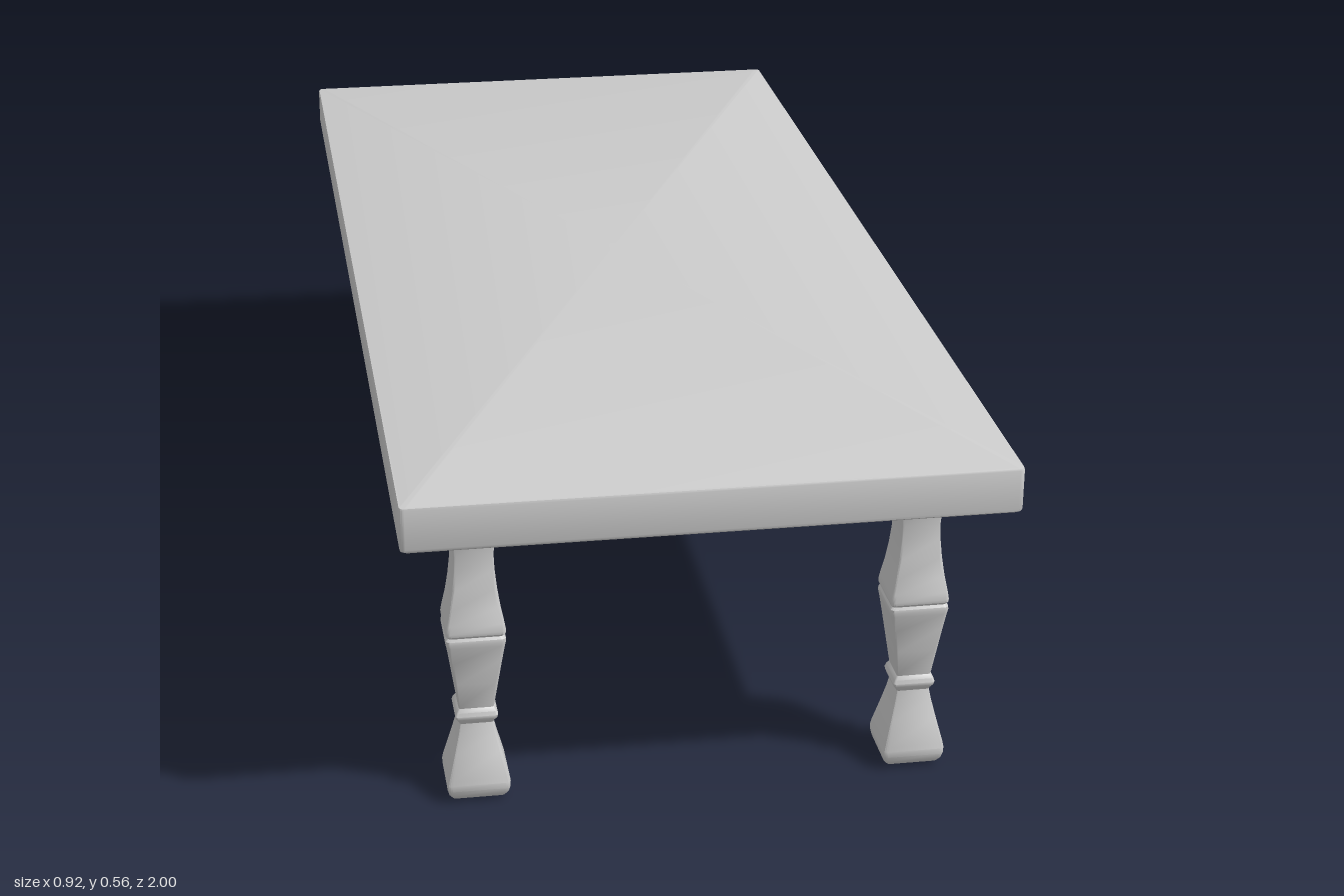
import * as THREE from 'three';
import { toCreasedNormals } from 'three/addons/utils/BufferGeometryUtils.js';

const material = new THREE.MeshStandardMaterial({ color: 0xcccccc });
const CORNER_STEPS = 4;

// Rounded rectangle in the xz plane, one arc per corner
function ring({ y, hx, hz, r }) {
  const points = [];
  for (let c = 0; c < 4; c++) {
    const cx = (c === 0 || c === 3 ? 1 : -1) * (hx - r);
    const cz = (c < 2 ? 1 : -1) * (hz - r);
    for (let i = 0; i <= CORNER_STEPS; i++) {
      const a = (c + i / CORNER_STEPS) * Math.PI / 2;
      points.push(cx + r * Math.cos(a), y, cz + r * Math.sin(a));
    }
  }
  return points;
}

// Skin through the rings, closed at both ends by a centre point
function loft(sections, crease) {
  const n = 4 * (CORNER_STEPS + 1);
  const positions = sections.flatMap(ring);
  const first = sections.length * n;
  const last = first + 1;
  positions.push(0, sections[0].y, 0, 0, sections[sections.length - 1].y, 0);
  const index = [];
  for (let j = 0; j < n; j++) {
    const k = (j + 1) % n;
    index.push(first, j, k);
    for (let s = 0; s < sections.length - 1; s++) {
      const a = s * n + j, b = s * n + k;
      index.push(a, a + n, b, b, a + n, b + n);
    }
    const top = (sections.length - 1) * n;
    index.push(last, top + k, top + j);
  }
  const geometry = new THREE.BufferGeometry();
  geometry.setAttribute('position', new THREE.Float32BufferAttribute(positions, 3));
  geometry.setIndex(index);
  return toCreasedNormals(geometry, crease);
}

export function createModel() {
  const table = new THREE.Group();
  table.name = 'table';

  // Tabletop: recessed underside, thin rim, outer wall, softened top edge
  const slab = [
    // inset from the outer edge, height
    [0.022, 0.518], [0.018, 0.494], [0.014, 0.49], [0.005, 0.49],
    [0.001, 0.493], [0, 0.497], [0, 0.559], [0.001, 0.562], [0.004, 0.563],
  ].map(([d, y]) => ({ y, hx: 0.46 - d, hz: 1 - d, r: 0.008 }));
  const top = new THREE.Mesh(loft(slab, 0.7), material);
  top.name = 'tabletop';
  table.add(top);

  // Square baluster leg: height, half width
  const profile = [
    [0, 0.026], [0.002, 0.034], [0.006, 0.041], [0.013, 0.046], [0.022, 0.0485],
    [0.032, 0.049], [0.04, 0.0475], [0.08, 0.037], [0.11, 0.0295], [0.128, 0.026],
    [0.132, 0.028], [0.138, 0.032], [0.143, 0.033], [0.149, 0.031], [0.155, 0.027],
    [0.16, 0.028], [0.2, 0.034], [0.24, 0.040], [0.268, 0.0445], [0.275, 0.046],
    [0.28, 0.0455], [0.284, 0.0425], [0.288, 0.0455], [0.293, 0.046], [0.305, 0.044],
    [0.33, 0.039], [0.36, 0.0345], [0.39, 0.0315], [0.415, 0.0305], [0.44, 0.0325],
    [0.465, 0.0365], [0.49, 0.043], [0.52, 0.051],
  ];
  const legGeometry = loft(profile.map(([y, h]) => ({ y, hx: h, hz: h, r: h * 0.15 })), 0.6);
  for (const [side, x] of [['Left', 0.342], ['Right', -0.342]]) {
    for (const [end, z] of [['front', 0.84], ['back', -0.84]]) {
      const leg = new THREE.Mesh(legGeometry, material);
      leg.name = `${end}${side}Leg`;
      leg.position.set(x, 0, z);
      table.add(leg);
    }
  }
  return table;
}
